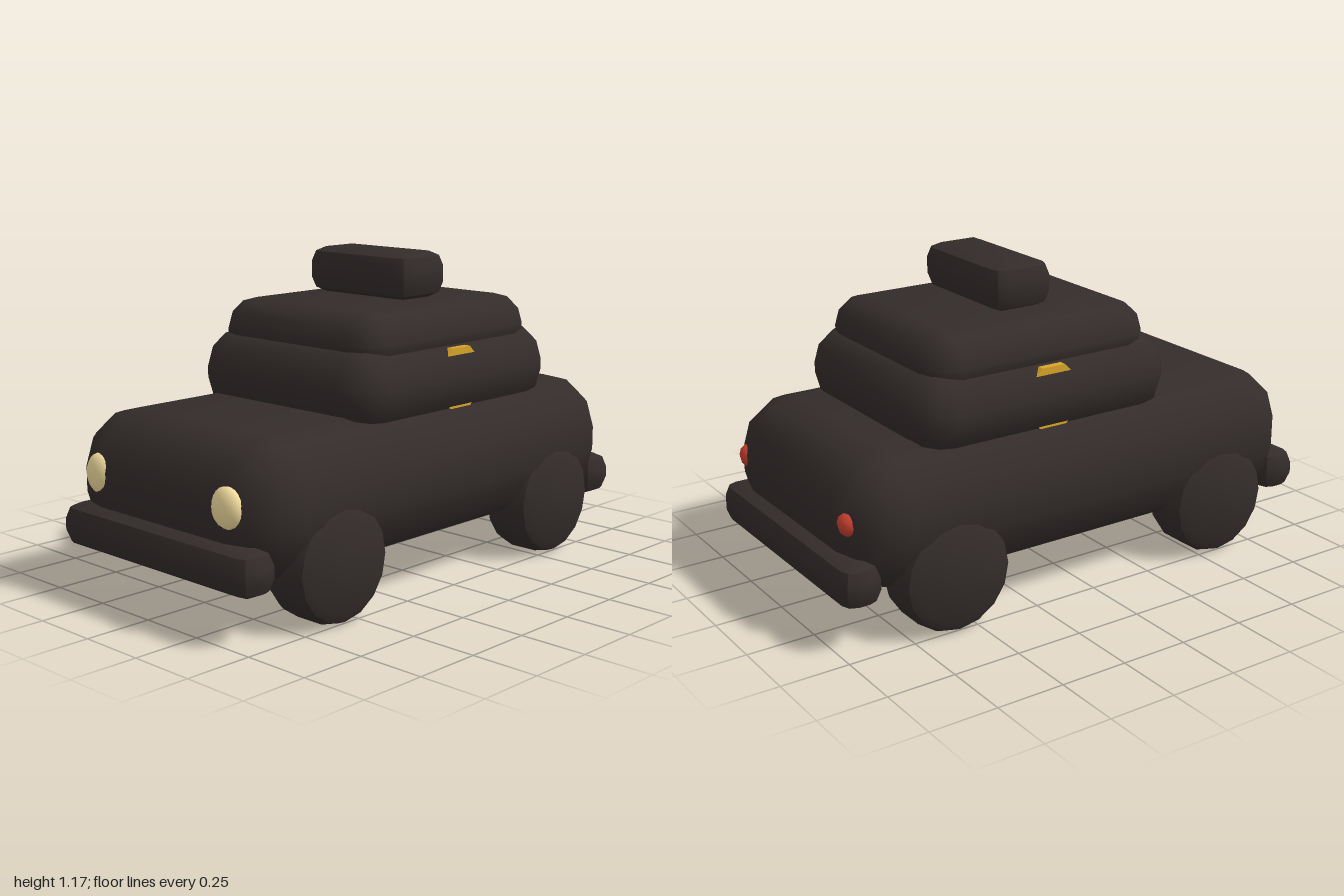
import * as THREE from 'three';
import { toCreasedNormals } from 'three/addons/utils/BufferGeometryUtils.js';
import { ConvexGeometry } from 'three/addons/geometries/ConvexGeometry.js';

const paint = new THREE.MeshStandardMaterial({ color: 0x332c2a });
const cream = new THREE.MeshStandardMaterial({ color: 0xf5dfa0 });
const red = new THREE.MeshStandardMaterial({ color: 0xc8402f });
const gold = new THREE.MeshStandardMaterial({ color: 0xd9a52a });

// Box with rounded corners: hull of eight sphere octants, n steps per quarter turn
function roundedBox(min, max, r, n, crease) {
  const points = [];
  for (const sx of [-1, 1]) for (const sy of [-1, 1]) for (const sz of [-1, 1]) {
    for (let i = 0; i <= n; i++) {
      const lat = (i / n) * Math.PI / 2;
      for (let j = 0; j <= (i === n ? 0 : n); j++) {
        const lon = (j / n) * Math.PI / 2;
        const dir = [Math.cos(lat) * Math.cos(lon), Math.sin(lat), Math.cos(lat) * Math.sin(lon)];
        const p = [sx, sy, sz].map((s, k) => (s > 0 ? max[k] - r : min[k] + r) + s * r * dir[k]);
        points.push(new THREE.Vector3(...p));
      }
    }
  }
  return toCreasedNormals(new ConvexGeometry(points), crease);
}

export function createModel() {
  const car = new THREE.Group();
  car.name = 'car';
  const add = (name, geometry, material, x = 0, y = 0, z = 0) => {
    const mesh = new THREE.Mesh(geometry, material);
    mesh.name = name;
    mesh.position.set(x, y, z);
    car.add(mesh);
    return mesh;
  };

  // Soft stacked bodywork
  add('body', roundedBox([-0.52, 0.16, -0.95], [0.52, 0.65, 0.95], 0.2, 3, 0.7), paint);
  add('cabin', roundedBox([-0.44, 0.57, -0.66], [0.44, 0.88, 0.41], 0.135, 3, 0.7), paint);
  add('roof', roundedBox([-0.39, 0.76, -0.585], [0.39, 0.995, 0.335], 0.11, 3, 0.7), paint);
  add('roofSign', roundedBox([-0.25, 1.0, -0.25], [0.25, 1.17, 0], 0.055, 2, 0.6), paint);

  // Bumpers
  const bumper = roundedBox([-0.49, -0.08, -0.08], [0.49, 0.08, 0.08], 0.06, 2, 0.6);
  add('frontBumper', bumper, paint, 0, 0.24, 0.92);
  add('rearBumper', bumper, paint, 0, 0.24, -0.92);

  // Wheel with chamfered rims, turned onto the x axis
  const profile = [[0, -0.1], [0.17, -0.1], [0.198, -0.085], [0.21, -0.055],
    [0.21, 0.055], [0.198, 0.085], [0.17, 0.1], [0, 0.1]].map(p => new THREE.Vector2(...p));
  const wheel = toCreasedNormals(new THREE.LatheGeometry(profile, 16).rotateZ(Math.PI / 2), 0.6);

  // Lamps and door discs, partly sunk into the bodywork
  const headlight = new THREE.SphereGeometry(1, 16, 12).scale(0.07, 0.075, 0.04);
  const tailLight = new THREE.SphereGeometry(1, 8, 6).scale(0.05, 0.045, 0.045);
  const disc = toCreasedNormals(
    new THREE.CylinderGeometry(0.123, 0.123, 0.03, 8).rotateY(Math.PI / 8).rotateZ(Math.PI / 2), 0.6);

  for (const [side, s] of [['left', 1], ['right', -1]]) {
    add(side + 'FrontWheel', wheel, paint, s * 0.43, 0.21, 0.58);
    add(side + 'RearWheel', wheel, paint, s * 0.43, 0.21, -0.58);
    add(side + 'Headlight', headlight, cream, s * 0.33, 0.437, 0.925);
    add(side + 'TailLight', tailLight, red, s * 0.375, 0.435, -0.912);
    add(side + 'DoorDisc', disc, gold, s * 0.402, 0.73, -0.125);
  }
  return car;
}
